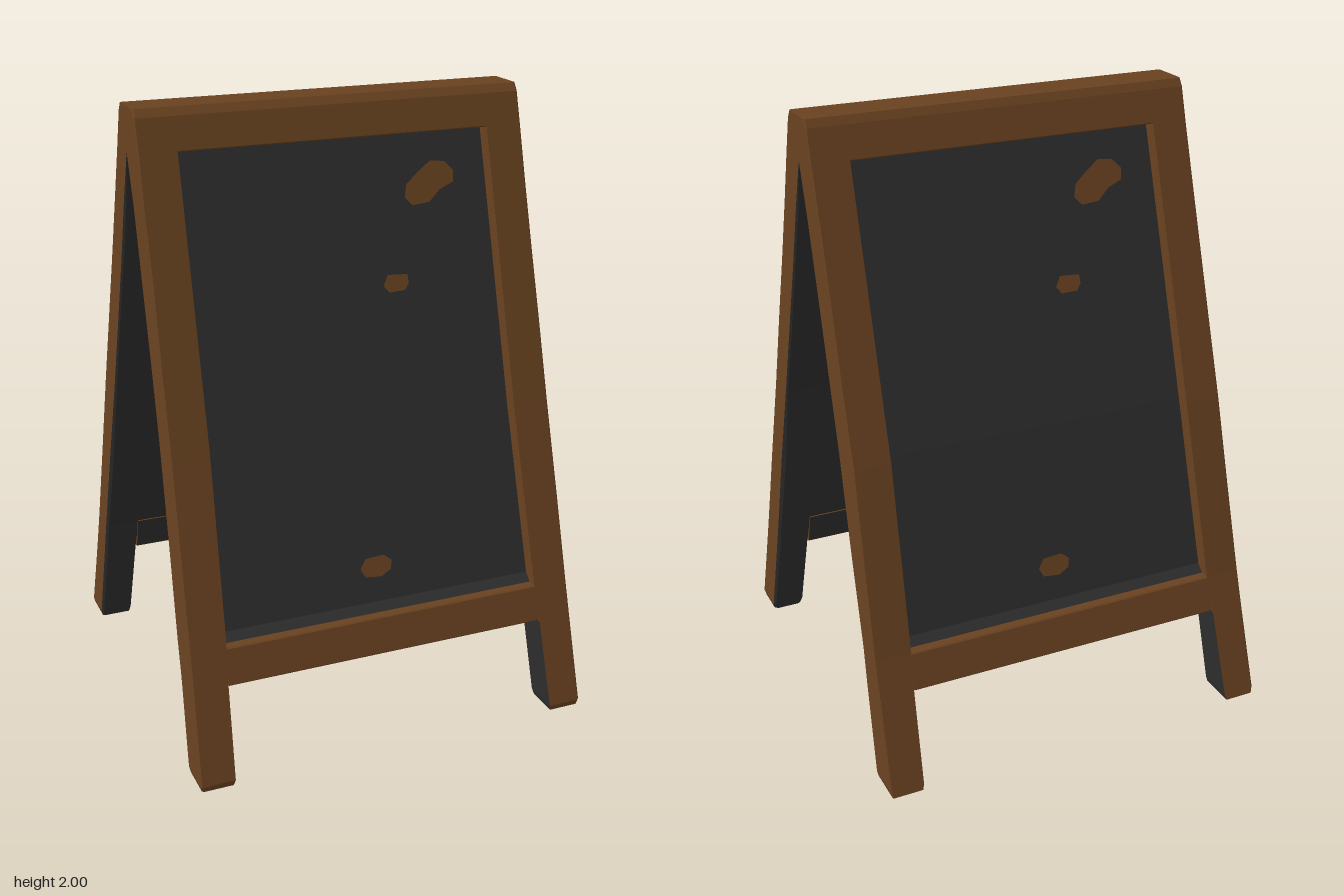
import * as THREE from 'three';

const wood = new THREE.MeshStandardMaterial({ color: 0x694220 });
wood.name = 'wood';
const slate = new THREE.MeshStandardMaterial({ color: 0x2d2d2d });
slate.name = 'slate';
const WOOD = 0, SLATE = 1;

// Small seeded random for hand-cut wear
let seed = 7;
const rnd = () => (seed = (seed * 16807) % 2147483647) / 2147483647;

// Piecewise linear lookup in [[y, value], ...]
function at(table, y) {
  for (let i = 1; i < table.length; i++) {
    const [y0, v0] = table[i - 1], [y1, v1] = table[i];
    if (y <= y1) return v0 + (v1 - v0) * (y - y0) / (y1 - y0);
  }
  return table[table.length - 1][1];
}

// Cut each corner of a 2D outline; edge 2i is the cut at corner i, edge 2i+1 the side after it
function chamfer(pts, cuts) {
  const out = [], n = pts.length;
  pts.forEach((p, i) => {
    for (const q of [pts[(i + n - 1) % n], pts[(i + 1) % n]]) {
      const t = cuts[i] / Math.hypot(q[0] - p[0], q[1] - p[1]);
      out.push([p[0] + (q[0] - p[0]) * t, p[1] + (q[1] - p[1]) * t]);
    }
  });
  return out;
}

// Join rings of [x, y, z] into a closed flat-faced solid; mat(edge, segment) picks the colour
function loft(name, rings, mat, startMat, endMat) {
  const faces = [[], []], n = rings[0].length, last = rings.length - 1;
  for (let s = 0; s < last; s++) {
    for (let k = 0; k < n; k++) {
      const a = rings[s][k], b = rings[s][(k + 1) % n];
      const c = rings[s + 1][(k + 1) % n], d = rings[s + 1][k];
      faces[mat(k, s)].push(...a, ...b, ...c, ...a, ...c, ...d);
    }
  }
  for (let k = 1; k < n - 1; k++) {
    faces[startMat].push(...rings[0][0], ...rings[0][k + 1], ...rings[0][k]);
    faces[endMat].push(...rings[last][0], ...rings[last][k], ...rings[last][k + 1]);
  }
  const geo = new THREE.BufferGeometry();
  geo.setAttribute('position', new THREE.Float32BufferAttribute([...faces[0], ...faces[1]], 3));
  geo.addGroup(0, faces[0].length / 3, 0);
  geo.addGroup(faces[0].length / 3, faces[1].length / 3, 1);
  geo.computeVertexNormals();
  const mesh = new THREE.Mesh(geo, [wood, slate]);
  mesh.name = name;
  return mesh;
}

const heights = [0, 0.02, 0.3, 0.42, 0.7, 1, 1.25, 1.5, 1.7, 1.86, 1.975, 2];
const legOuterX = [[0, 0.662], [0.02, 0.667], [0.3, 0.66], [1, 0.647], [1.5, 0.641], [2, 0.639]];
const legInnerX = [[0, 0.56], [0.02, 0.555], [0.3, 0.545], [0.42, 0.537], [1, 0.522], [2, 0.515]];

// Leg: tapered post that leans with the panel, dark on its hidden faces
function makeLeg(side, outer, inner) {
  const rings = heights.map((y) => {
    const xs = [at(legInnerX, y) * side, at(legOuterX, y) * side].sort((a, b) => a - b);
    const z1 = at(outer, y), z0 = at(inner, y);
    const wear = y > 1.8 ? 0 : 0.003 + 0.01 * rnd();
    const edge = 0.003 + 0.003 * rnd();
    const pts = [[xs[0], z1], [xs[1], z1], [xs[1], z0], [xs[0], z0]];
    const cuts = side > 0 ? [0, edge, wear, wear] : [edge, 0, wear, wear];
    return chamfer(pts, cuts).map(([x, z]) => [x, y, z]);
  });
  const innerEdge = side > 0 ? 7 : 3;
  const mat = (k, s) => {
    // Opening side: bare wood on one leg, dark paint on the other
    if (k === innerEdge) return heights[s] < 0.3 || side < 0 ? SLATE : WOOD;
    return k >= 4 && k <= 6 ? SLATE : WOOD;
  };
  return loft('leg', rings, mat, SLATE, WOOD);
}

// Rail: straight bar along x from an outline of [y, z] corners
function makeRail(name, halfWidth, outline, cuts, darkSides) {
  const rings = [-1, 1].map((t) => chamfer(outline, cuts).map(([y, z]) => [t * halfWidth, y, z]));
  return loft(name, rings, (k) => (darkSides.includes((k - 1) / 2) ? SLATE : WOOD), WOOD, WOOD);
}

// Worn patches where the wood shows through: outline points on the board
const patches = [
  [[0.225, 1.67], [0.25, 1.645], [0.31, 1.65], [0.35, 1.685], [0.4, 1.705], [0.405, 1.74],
    [0.375, 1.77], [0.325, 1.775], [0.28, 1.745], [0.235, 1.71]],
  [[0.122, 1.41], [0.14, 1.388], [0.195, 1.39], [0.21, 1.41], [0.208, 1.438], [0.14, 1.442]],
  [[-0.055, 0.555], [-0.04, 0.528], [0.015, 0.522], [0.05, 0.54], [0.055, 0.568],
    [0.03, 0.588], [-0.035, 0.585]],
];

// One leaning half: two legs, two rails, the board and its worn patches
function makePanel(name, outer, inner) {
  const panel = new THREE.Group();
  panel.name = name;
  for (const side of [-1, 1]) panel.add(makeLeg(side, outer, inner));

  const o = (y) => at(outer, y), i = (y) => at(inner, y);
  panel.add(makeRail('bottomRail', 0.542,
    [[0.42, o(0.42)], [0.305, o(0.305)], [0.305, i(0.305)], [0.42, i(0.42)]],
    [0.004, 0.004, 0.004, 0], [1, 2]));
  panel.add(makeRail('topRail', 0.525,
    [[2, o(2)], [1.975, o(1.975)], [1.872, o(1.872)], [1.872, i(1.872)], [2, i(2)]],
    [0, 0, 0.004, 0, 0], [2]));

  // Board: sunk into the frame, with a dark bevel along the bottom ledge
  const boardZ = (y) => o(y) - (y < 0.43 ? 0.03 : 0.05);
  const boardRings = [0.418, 0.445, 0.7, 1, 1.25, 1.5, 1.7, 1.88].map((y) => {
    const back = i(y) + 0.006;
    return [[-0.54, y, boardZ(y)], [0.54, y, boardZ(y)], [0.54, y, back], [-0.54, y, back]];
  });
  panel.add(loft('board', boardRings, () => SLATE, SLATE, SLATE));

  for (const points of patches) {
    const geo = new THREE.ShapeGeometry(new THREE.Shape(points.map((p) => new THREE.Vector2(...p))));
    const pos = geo.attributes.position;
    for (let v = 0; v < pos.count; v++) pos.setZ(v, boardZ(pos.getY(v)) + 0.004);
    geo.computeVertexNormals();
    const patch = new THREE.Mesh(geo, wood);
    patch.name = 'wornPatch';
    panel.add(patch);
  }
  return panel;
}

export function createModel() {
  const model = new THREE.Group();
  model.name = 'sandwichBoard';

  model.add(makePanel('frontPanel',
    [[0, 0.658], [0.02, 0.664], [1, 0.39], [1.975, 0.11], [2, 0.092]],
    [[0, 0.54], [1, 0.272], [1.86, 0.02], [2, 0.02]]));

  // Rear half turned around; slightly bowed
  const rear = makePanel('rearPanel',
    [[0, 0.663], [0.42, 0.53], [1, 0.368], [1.5, 0.208], [1.86, 0.092], [1.975, 0.055], [2, 0.04]],
    [[0, 0.535], [0.42, 0.42], [1, 0.243], [1.5, 0.088], [1.86, -0.02], [2, -0.02]]);
  rear.rotation.y = Math.PI;
  model.add(rear);
  return model;
}
